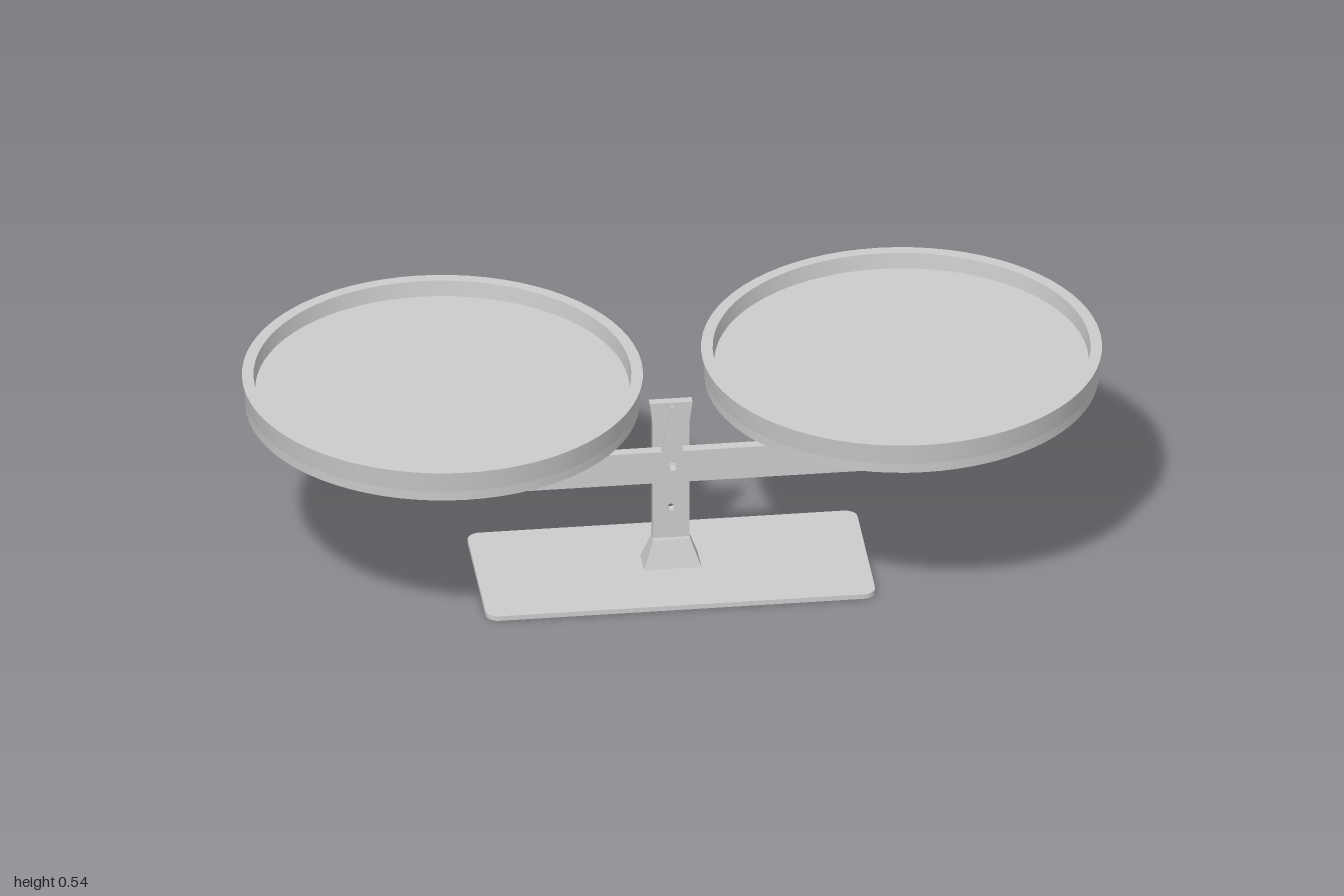
import * as THREE from 'three';

const grey = new THREE.MeshStandardMaterial({ color: 0xcccccc });
const flatGrey = new THREE.MeshStandardMaterial({ color: 0xcccccc, flatShading: true });

function add(parent, name, geometry, material = grey) {
  const mesh = new THREE.Mesh(geometry, material);
  mesh.name = name;
  parent.add(mesh);
  return mesh;
}

// Flat plate in the xy plane from z0 to z1, with round holes [x, y, r]
function plate(shape, z0, z1, holes = []) {
  for (const [x, y, r] of holes) {
    shape.holes.push(new THREE.Path().absarc(x, y, r, 0, Math.PI * 2, true));
  }
  const geo = new THREE.ExtrudeGeometry(shape, { depth: z1 - z0, bevelEnabled: false, curveSegments: 16 });
  return geo.translate(0, 0, z0);
}

function polygon(points) {
  return new THREE.Shape(points.map(([x, y]) => new THREE.Vector2(x, y)));
}

function roundedRect(x0, x1, y0, y1, r) {
  const s = new THREE.Shape();
  s.absarc(x1 - r, y0 + r, r, -Math.PI / 2, 0);
  s.absarc(x1 - r, y1 - r, r, 0, Math.PI / 2);
  s.absarc(x0 + r, y1 - r, r, Math.PI / 2, Math.PI);
  s.absarc(x0 + r, y0 + r, r, Math.PI, Math.PI * 1.5);
  s.closePath();
  return s;
}

// Box whose top and bottom have their own width (x) and depth (z)
function frustum(y0, y1, bottom, top) {
  const geo = new THREE.BoxGeometry(1, 1, 1);
  const p = geo.attributes.position;
  for (let i = 0; i < p.count; i++) {
    const up = p.getY(i) > 0;
    const [w, d] = up ? top : bottom;
    p.setXYZ(i, p.getX(i) * w, up ? y1 : y0, p.getZ(i) * d);
  }
  geo.computeVertexNormals();
  return geo;
}

// Lathe built band by band so that profile corners stay sharp
function sharpLathe(parent, name, profile) {
  const group = new THREE.Group();
  group.name = name;
  for (let i = 0; i < profile.length - 1; i++) {
    const pts = [profile[i], profile[i + 1]].map(([r, y]) => new THREE.Vector2(r, y));
    add(group, name + 'Band' + (i + 1), new THREE.LatheGeometry(pts, 72));
  }
  parent.add(group);
  return group;
}

export function createModel() {
  const model = new THREE.Group();
  model.name = 'balanceScale';
  const cx = -0.005; // centre line of the post
  const pivotY = 0.281;

  // Base plate with rounded corners
  const base = plate(roundedRect(-0.46, 0.45, -0.22, 0.175, 0.03), 0, 0.012);
  add(model, 'base', base.rotateX(-Math.PI / 2));

  // Tapered foot holding the post
  add(model, 'foot', frustum(0.012, 0.08, [0.134, 0.072], [0.086, 0.036]), flatGrey)
    .position.set(cx, 0, 0.011);

  // Upright post, flared at the top behind the pointer
  const post = polygon([
    [cx - 0.043, 0.07], [cx + 0.043, 0.07], [cx + 0.043, 0.385],
    [cx + 0.05, 0.438], [cx - 0.05, 0.438], [cx - 0.043, 0.385],
  ]);
  add(model, 'post', plate(post, -0.003, 0.018, [[cx, 0.16, 0.009], [cx, pivotY, 0.009]]));

  // Beam with round ends and three pivot holes
  const pivots = [-0.534, cx, 0.525];
  const beam = roundedRect(-0.575, 0.566, 0.24, 0.322, 0.0405);
  add(model, 'beam', plate(beam, 0.018, 0.043, pivots.map((x) => [x, pivotY, 0.011])));

  // Pointer standing on the beam
  const pointer = polygon([[cx - 0.026, 0.321], [cx + 0.026, 0.321], [cx + 0.003, 0.44], [cx - 0.003, 0.44]]);
  add(model, 'pointer', plate(pointer, 0.035, 0.043));

  // Two pans, each on a bracket and a hanger
  const sides = [['right', -0.537, -0.537], ['left', 0.517, 0.535]];
  for (const [side, hx, px] of sides) {
    const hanger = polygon([[hx - 0.042, 0.22], [hx + 0.042, 0.22], [hx + 0.042, 0.411], [hx - 0.042, 0.411]]);
    const pivotX = side === 'left' ? 0.525 : -0.534;
    add(model, side + 'Hanger', plate(hanger, -0.007, 0.018, [[pivotX, pivotY, 0.009], [hx, 0.372, 0.009]]));

    add(model, side + 'Bracket', frustum(0.41, 0.453, [0.085, 0.025], [0.252, 0.193]), flatGrey)
      .position.set(hx, 0, 0.004);

    const disc = add(model, side + 'SupportDisc', new THREE.CylinderGeometry(0.228, 0.228, 0.007, 64));
    disc.position.set(hx, 0.461, -0.004);

    const pan = sharpLathe(model, side + 'Pan', [
      [0, 0.464], [0.457, 0.464], [0.458, 0.488], [0.465, 0.541],
      [0.438, 0.541], [0.434, 0.502], [0, 0.502],
    ]);
    pan.position.set(px, 0, 0);
  }
  return model;
}
